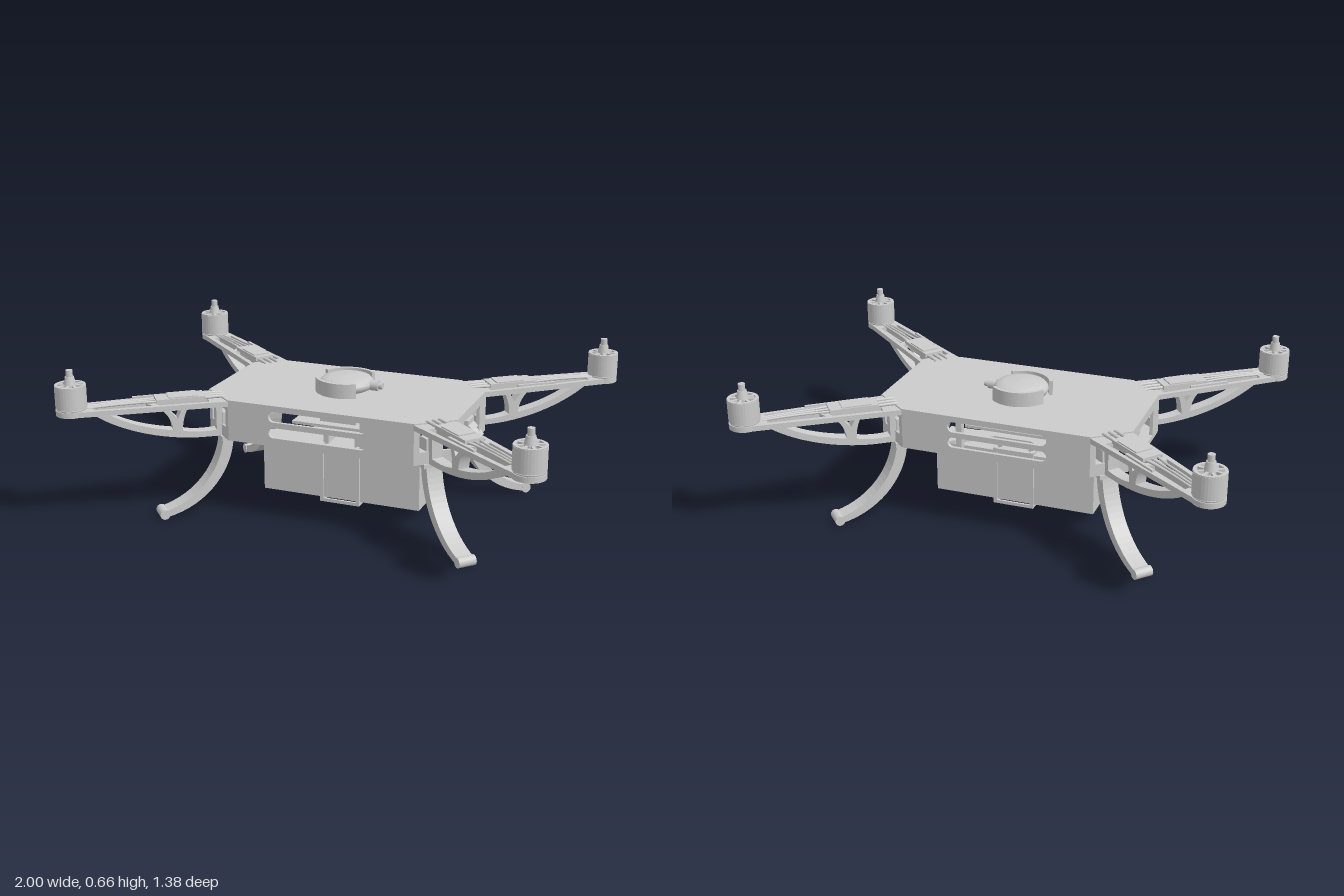
import * as THREE from 'three';

const mat = new THREE.MeshStandardMaterial({ color: 0xcccccc, flatShading: false });
const V = (x, y, z = 0) => new THREE.Vector3(x, y, z);

function add(parent, name, geo, x = 0, y = 0, z = 0) {
  const m = new THREE.Mesh(geo, mat);
  m.name = name;
  m.position.set(x, y, z);
  parent.add(m);
  return m;
}
const box = (p, n, w, h, d, x, y, z) => add(p, n, new THREE.BoxGeometry(w, h, d), x, y, z);
const cyl = (p, n, r0, r1, h, x, y, z, s = 24) => add(p, n, new THREE.CylinderGeometry(r0, r1, h, s), x, y, z);
const poly = (pts, C = THREE.Shape) => new C(pts.map(([x, y]) => new THREE.Vector2(x, y)));
const extrude = (shape, depth) => new THREE.ExtrudeGeometry(shape, { depth, bevelEnabled: false, curveSegments: 16 });
// Horizontal plate: shape (x, z), hanging down from its top face
const plate = (p, n, shape, top, t) => add(p, n, extrude(shape, t).rotateX(Math.PI / 2), 0, top, 0);
const rectHole = (a, b, c, d) => poly([[a, c], [b, c], [b, d], [a, d]], THREE.Path);
function slotHole(a, b, c, d) {
  const r = (d - c) / 2, y = (c + d) / 2, h = new THREE.Path();
  h.absarc(b - r, y, r, -Math.PI / 2, Math.PI / 2);
  h.absarc(a + r, y, r, Math.PI / 2, Math.PI * 1.5);
  h.closePath();
  return h;
}

const OCT = [[0.4, 0.31], [0.54, 0.2], [0.54, -0.2], [0.4, -0.31], [-0.4, -0.31], [-0.54, -0.2], [-0.54, 0.2], [-0.4, 0.31]];

function buildBody(root) {
  const body = new THREE.Group();
  body.name = 'body';
  root.add(body);
  plate(body, 'topPlate', poly(OCT), 0.505, 0.015);

  // Floor: rim with diagonal braces
  const floor = poly(OCT);
  for (const s of [-1, 1]) {
    floor.holes.push(poly([[-0.32, s * 0.27], [0.32, s * 0.27], [0.08, s * 0.1], [-0.08, s * 0.1]], THREE.Path));
    floor.holes.push(poly([[s * 0.48, -0.15], [s * 0.48, 0.15], [s * 0.36, 0.2], [s * 0.13, 0.05], [s * 0.13, -0.05], [s * 0.36, -0.2]], THREE.Path));
  }
  plate(body, 'floorFrame', floor, 0.345, 0.012);

  // Walls with slots and windows
  const wall = (name, x, z, rot, len, holes) => {
    const s = poly([[-len / 2, 0.335], [len / 2, 0.335], [len / 2, 0.5], [-len / 2, 0.5]]);
    s.holes.push(...holes);
    add(body, name, extrude(s, 0.014).translate(0, 0, -0.014), x, 0, z).rotation.y = rot;
  };
  for (const s of [-1, 1]) {
    const a = s > 0 ? -0.22 : -0.2, b = a + 0.42;
    wall('slottedWall', 0, s * 0.31, s > 0 ? 0 : Math.PI, 0.8,
      [slotHole(a, b, 0.435, 0.48), slotHole(a, b, 0.368, 0.412)]);
    wall('endWall', s * 0.54, 0, s * Math.PI / 2, 0.4, [rectHole(-0.11, 0.11, 0.355, 0.467)]);
    for (const t of [-1, 1])
      wall('cornerWall', s * 0.47, t * 0.255, Math.atan2(s * 0.11, t * 0.14), 0.178, [rectHole(-0.065, 0.065, 0.385, 0.46)]);
  }
  // Electronics inside
  box(body, 'circuitBoard', 0.42, 0.012, 0.2, 0, 0.37, 0);
  box(body, 'controller', 0.16, 0.05, 0.12, -0.02, 0.4, 0);
  for (const z of [-0.25, 0.25]) box(body, 'innerPost', 0.025, 0.155, 0.03, 0.17, 0.418, z);
}

function buildArm(root, sx, sz) {
  const arm = new THREE.Group();
  arm.name = 'arm';
  arm.position.set(sx * 0.47, 0, sz * 0.255);
  arm.rotation.y = -Math.atan2(sz * 0.37, sx * 0.465);
  root.add(arm);
  const L = 0.594;

  // Top plate: tapered, with two long slots and a motor pad
  const s = new THREE.Shape();
  s.moveTo(-0.03, -0.088);
  s.lineTo(0.03, -0.085);
  s.lineTo(L - 0.02, -0.06);
  s.absarc(L, 0, 0.063, -1.9, 1.9);
  s.lineTo(0.03, 0.085);
  s.lineTo(-0.03, 0.088);
  s.closePath();
  for (const k of [-1, 1]) {
    const h = [[0.05, 0.066], [0.25, 0.057], [0.27, 0.022], [0.05, 0.03]];
    const g = [[0.28, 0.053], [0.51, 0.043], [0.51, 0.016], [0.3, 0.016]];
    for (const q of [h, g]) s.holes.push(poly(q.map(([x, y]) => [x, y * k]), THREE.Path));
  }
  plate(arm, 'armPlate', s, 0.5, 0.022);

  // Curved truss underneath
  const rib = new THREE.Shape();
  rib.moveTo(-0.01, 0.335);
  rib.lineTo(0.08, 0.336);
  rib.bezierCurveTo(0.25, 0.342, 0.42, 0.4, 0.52, 0.48);
  rib.lineTo(-0.01, 0.48);
  rib.closePath();
  const h1 = new THREE.Path();
  h1.moveTo(0.015, 0.362);
  h1.quadraticCurveTo(0.1, 0.355, 0.155, 0.372);
  h1.quadraticCurveTo(0.155, 0.43, 0.125, 0.478);
  h1.lineTo(0.015, 0.478);
  h1.closePath();
  const h2 = new THREE.Path();
  h2.moveTo(0.195, 0.378);
  h2.quadraticCurveTo(0.36, 0.405, 0.46, 0.475);
  h2.lineTo(0.25, 0.475);
  h2.quadraticCurveTo(0.2, 0.44, 0.195, 0.378);
  const h3 = poly([[0.15, 0.475], [0.175, 0.425], [0.22, 0.475]], THREE.Path);
  rib.holes.push(h1, h2, h3);
  add(arm, 'armTruss', extrude(rib, 0.05).translate(0, 0, -0.025));
  box(arm, 'rootBlock', 0.05, 0.05, 0.07, -0.035, 0.412, 0);

  // Speed controller and wires
  box(arm, 'speedController', 0.2, 0.016, 0.085, 0.16, 0.509, 0);
  box(arm, 'controllerCap', 0.12, 0.006, 0.075, 0.15, 0.519, 0);
  for (const z of [-0.028, 0, 0.028]) {
    const inner = new THREE.CatmullRomCurve3([V(0.07, 0.506, z), V(0.0, 0.507, z), V(-0.02, 0.505, z)]);
    add(arm, 'powerWire', new THREE.TubeGeometry(inner, 8, 0.007, 8));
    const outer = new THREE.CatmullRomCurve3([V(0.25, 0.506, z), V(0.32, 0.506, z * 0.7), V(0.42, 0.505, z * 0.6), V(0.54, 0.5, z * 0.5)]);
    add(arm, 'motorWire', new THREE.TubeGeometry(outer, 14, 0.005, 8));
  }
  box(arm, 'sideStrip', 0.17, 0.008, 0.012, 0.26, 0.506, 0.058);

  // Motor: base, stator, bell with spoked cap, shaft
  const motor = new THREE.Group();
  motor.name = 'motor';
  motor.position.x = L;
  arm.add(motor);
  cyl(motor, 'motorBase', 0.06, 0.055, 0.02, 0, 0.495, 0, 32);
  cyl(motor, 'stator', 0.045, 0.045, 0.07, 0, 0.535, 0, 24);
  const ring = new THREE.Shape();
  ring.absarc(0, 0, 0.063, 0, Math.PI * 2);
  ring.holes.push(new THREE.Path().absarc(0, 0, 0.052, 0, Math.PI * 2));
  plate(motor, 'motorBell', ring, 0.598, 0.09);
  const cap = new THREE.Shape();
  cap.absarc(0, 0, 0.062, 0, Math.PI * 2);
  for (let i = 0; i < 8; i++) {
    const a = i * Math.PI / 4, h = new THREE.Path();
    h.absarc(0, 0, 0.05, a - 0.28, a + 0.28);
    h.absarc(0, 0, 0.026, a + 0.2, a - 0.2, true);
    h.closePath();
    cap.holes.push(h);
  }
  plate(motor, 'motorCap', cap, 0.602, 0.012);
  cyl(motor, 'shaftCollar', 0.018, 0.025, 0.035, 0, 0.617, 0);
  cyl(motor, 'shaft', 0.014, 0.014, 0.03, 0, 0.647, 0);
}

function buildLeg(root, sx, sz) {
  const leg = new THREE.Group();
  leg.name = 'leg';
  leg.position.set(sx * 0.45, 0, sz * 0.235);
  leg.rotation.y = -Math.atan2(sz * 0.19, sx * 0.205);
  root.add(leg);
  box(leg, 'legFlange', 0.06, 0.018, 0.1, 0, 0.327, 0);
  const s = new THREE.Shape();
  s.moveTo(-0.022, 0.325);
  s.bezierCurveTo(-0.018, 0.2, 0.08, 0.04, 0.275, 0.008);
  s.lineTo(0.28, 0.035);
  s.bezierCurveTo(0.13, 0.07, 0.035, 0.19, 0.022, 0.325);
  s.closePath();
  add(leg, 'legStrut', extrude(s, 0.07).translate(0, 0, -0.035));
  cyl(leg, 'foot', 0.021, 0.021, 0.076, 0.28, 0.021, 0).rotation.x = Math.PI / 2;
}

function buildPayload(root) {
  const g = new THREE.Group();
  g.name = 'payload';
  root.add(g);
  box(g, 'battery', 0.7, 0.225, 0.165, 0, 0.16, 0);
  // Cage around the battery
  for (const s of [-1, 1]) {
    for (const z of [-0.086, 0.086]) {
      box(g, 'cagePost', 0.016, 0.255, 0.01, s * 0.081, 0.158, z);
      box(g, 'cageRail', 0.178, 0.014, 0.01, 0, s > 0 ? 0.278 : 0.037, z);
    }
    for (const y of [0.037, 0.28]) box(g, 'cageCrossbar', 0.016, 0.014, 0.18, s * 0.081, y, 0);
    for (const z of [-0.05, 0.05]) box(g, 'hanger', 0.022, 0.055, 0.035, s * 0.07, 0.31, z);
    box(g, 'hangerFlange', 0.05, 0.014, 0.15, s * 0.072, 0.33, 0);
  }
}

function buildDome(root) {
  const g = new THREE.Group();
  g.name = 'antenna';
  g.position.set(-0.005, 0, -0.005);
  root.add(g);
  const prof = [[0, 0.505], [0.085, 0.51], [0.106, 0.52], [0.114, 0.535], [0.112, 0.547], [0.1, 0.56], [0.07, 0.568], [0, 0.572]];
  add(g, 'antennaDome', new THREE.LatheGeometry(prof.map(([x, y]) => new THREE.Vector2(x, y)), 48));
  // Curved holders at front and back
  for (const c of [1.85, -1.75]) {
    const s = new THREE.Shape();
    s.absarc(0, 0, 0.13, c - 0.95, c + 0.95);
    s.absarc(0, 0, 0.115, c + 0.95, c - 0.95, true);
    s.closePath();
    plate(g, 'antennaHolder', s, 0.566, 0.064);
  }
  cyl(g, 'plug', 0.022, 0.022, 0.035, 0.125, 0.538, 0).rotation.z = Math.PI / 2;
  cyl(g, 'plugTip', 0.014, 0.014, 0.03, 0.145, 0.538, 0).rotation.z = Math.PI / 2;
}

function buildCamera(root) {
  const g = new THREE.Group();
  g.name = 'camera';
  g.position.set(0.525, 0.405, 0.01);
  root.add(g);
  box(g, 'cameraMount', 0.05, 0.05, 0.08, -0.01, 0.022, 0);
  box(g, 'cameraBracket', 0.03, 0.11, 0.02, -0.03, 0, -0.05);
  // Lens points forward and down
  const lens = new THREE.Group();
  lens.name = 'lens';
  lens.rotation.z = -Math.PI / 2 - 0.75;
  g.add(lens);
  box(lens, 'lensHousing', 0.06, 0.04, 0.07, 0, 0, 0);
  cyl(lens, 'lensBarrel', 0.032, 0.032, 0.03, 0, 0.03, 0);
  cyl(lens, 'lensRim', 0.036, 0.04, 0.022, 0, 0.048, 0);
  cyl(lens, 'lensGlass', 0.018, 0.026, 0.012, 0, 0.063, 0);
}

export function createModel() {
  const root = new THREE.Group();
  root.name = 'quadcopter';
  buildBody(root);
  for (const sx of [-1, 1]) for (const sz of [-1, 1]) {
    buildArm(root, sx, sz);
    buildLeg(root, sx, sz);
  }
  buildPayload(root);
  buildDome(root);
  buildCamera(root);
  return root;
}
